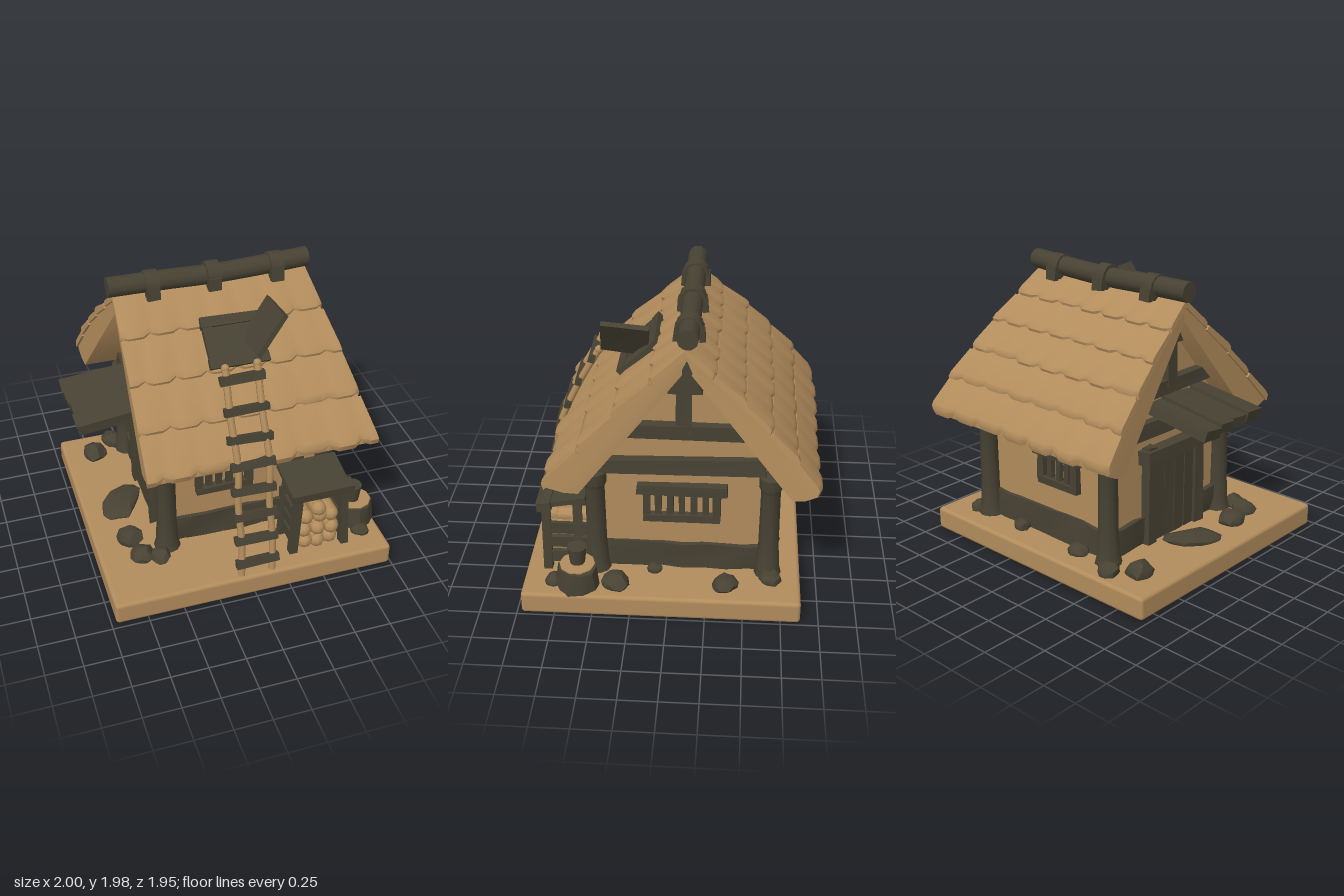
import * as THREE from 'three';
import { toCreasedNormals } from 'three/addons/utils/BufferGeometryUtils.js';
import { RoundedBoxGeometry } from 'three/addons/geometries/RoundedBoxGeometry.js';

const tan = new THREE.MeshStandardMaterial({ name: 'straw and plaster', color: 0xb28c5c });
const dark = new THREE.MeshStandardMaterial({ name: 'dark timber and stone', color: 0x474233 });
const lerp = THREE.MathUtils.lerp;

export function createModel() {
  let seed = 7;
  const rnd = () => ((seed = (seed * 16807) % 2147483647) / 2147483647) - 0.5;
  const house = new THREE.Group();
  house.name = 'cottage';

  const add = (parent, name, geo, mat, p = [0, 0, 0], r = [0, 0, 0]) => {
    const m = new THREE.Mesh(geo, mat);
    m.name = name;
    m.position.set(...p);
    m.rotation.set(...r);
    parent.add(m);
    return m;
  };
  // Moves all vertices sharing a place by the same small offset
  const wobble = (geo, amount) => {
    const p = geo.attributes.position, seen = {};
    for (let i = 0; i < p.count; i++) {
      const k = [p.getX(i), p.getY(i), p.getZ(i)].map(v => Math.round(v * 1e4)).join();
      const o = (seen[k] ??= [rnd() * amount, rnd() * amount, rnd() * amount]);
      p.setXYZ(i, p.getX(i) + o[0], p.getY(i) + o[1], p.getZ(i) + o[2]);
    }
    return toCreasedNormals(geo, 0.6);
  };
  // Hand-hewn timber
  const beam = (parent, name, s, p, r) =>
    add(parent, name, wobble(new THREE.BoxGeometry(...s), Math.min(...s) * 0.2), dark, p, r);
  const rock = (p, s) => {
    const m = add(house, 'rock', wobble(new THREE.IcosahedronGeometry(1, 1), 0.25), dark, p, [0, rnd() * 6, 0]);
    m.scale.set(...s);
  };
  // Skin over rings of points advancing along +x, with end caps
  const loft = rings => {
    const n = rings[0].length, idx = [], last = (rings.length - 1) * n;
    for (let i = 0; i < rings.length - 1; i++) for (let j = 0; j < n; j++) {
      const a = i * n + j, b = i * n + (j + 1) % n;
      idx.push(a, b, a + n, b, b + n, a + n);
    }
    for (let j = 1; j < n - 1; j++) idx.push(0, j + 1, j, last, last + j, last + j + 1);
    const g = new THREE.BufferGeometry();
    g.setAttribute('position', new THREE.Float32BufferAttribute(rings.flat(2), 3));
    g.setIndex(idx);
    return toCreasedNormals(g, 0.9);
  };

  // Ground slab, dark underneath
  add(house, 'groundSlab', new RoundedBoxGeometry(1.955, 0.16, 1.85, 2, 0.025),
    [tan, tan, tan, dark, tan, tan], [0.01, 0.08, 0.045]);

  // Walls with gables, and stone footing
  const gable = new THREE.Shape([[-0.45, 0.15], [0.63, 0.15], [0.63, 1.13], [0.11, 1.77], [-0.45, 1.08]]
    .map(a => new THREE.Vector2(...a)));
  const wallGeo = new THREE.ExtrudeGeometry(gable, { depth: 1.08, bevelEnabled: false });
  add(house, 'walls', wallGeo.rotateY(Math.PI / 2), tan, [-0.47, 0, 0]);
  add(house, 'footing', wobble(new THREE.BoxGeometry(1.13, 0.2, 1.13, 8, 2, 8), 0.025), dark, [0.07, 0.255, -0.09]);

  // Corner posts
  const post = [[0, 0.15], [0.095, 0.15], [0.078, 0.22], [0.068, 0.4], [0.064, 0.82], [0.078, 0.85], [0.078, 0.93], [0, 0.95]]
    .map(a => new THREE.Vector2(...a));
  for (const x of [-0.485, 0.65]) for (const z of [0.49, -0.66])
    add(house, 'cornerPost', toCreasedNormals(new THREE.LatheGeometry(post, 10), 0.7), dark, [x, 0, z]);

  // Gable timbers on both ends
  for (const x of [-0.49, 0.63]) {
    beam(house, 'tieBeam', [0.09, 0.1, 1.18], [x, 0.985, -0.03], [0.02, 0, 0]);
    beam(house, 'collarBeam', [0.08, 0.1, 0.86], [x, 1.245, -0.05]);
    beam(house, 'kingPost', [0.08, 0.44, 0.1], [x, 1.46, -0.09]);
    const peak = new THREE.Shape([[-0.01, 1.53], [0.21, 1.53], [0.11, 1.76]].map(a => new THREE.Vector2(...a)));
    add(house, 'peakBoard', new THREE.ExtrudeGeometry(peak, { depth: 0.09, bevelEnabled: false })
      .rotateY(Math.PI / 2), dark, [x - 0.045, 0, 0]);
  }

  // Roof: one thick, slightly bulging slab per side, covered with overlapping courses
  const sides = [
    { name: 'front', s: 1, len: 0.895, bulge: 0.02, xl: -0.68, xr: 0.9, rows: 4 },
    { name: 'back', s: -1, len: 0.855, bulge: 0.045, xl: -0.77, xr: 0.9, rows: 5 }];
  for (const { name, s, len, bulge, xl, xr, rows } of sides) {
    const at = (f, h, u) => {
      const out = h + bulge * Math.sin(Math.PI * Math.min(f, 1) ** 1.2);
      return [lerp(lerp(-0.65, xl, f), lerp(0.68, xr, f), u),
        1.835 - 0.875 * f + out * 0.72, -0.11 + s * (len * f + out * 0.69)];
    };
    const ring = pts => (s > 0 ? pts : pts.reverse());
    const slab = [0.01, 0.5, 0.99].map(u => ring([
      ...[0, 0.2, 0.4, 0.6, 0.8, 0.98].map(f => at(f, 0, u)), at(1, -0.025, u),
      [at(0.95, 0, u)[0], 0.9, s > 0 ? 0.66 : -0.87], [at(0.88, 0, u)[0], 0.885, s > 0 ? 0.57 : -0.79],
      [at(0, 0, u)[0], 1.7, -0.11]]));
    add(house, name + 'RoofSlab', loft(slab), tan);
    for (let i = 0; i < rows; i++) {
      const rings = [], tiles = 7, per = 4;
      const shift = i % 2 ? 0.5 : 0;
      let drop = 0;
      for (let c = 0; c <= tiles * per; c++) {
        const k = (c / per + shift) % 1, u = c / (tiles * per);
        if (k === 0) drop = rnd() * 0.025;
        const notch = k === 0 ? -0.018 : drop * 0.6;
        const f1 = (i + 1) / rows + notch, h1 = 0.026 + (k === 0 ? -0.01 : drop * 0.4);
        const f0 = i / rows;
        rings.push(ring([at(f0, 0.006, u), at(lerp(f0, f1, 0.82), h1, u), at(f1 - 0.008, h1 - 0.006, u),
          at(f1 + 0.008, -0.02, u), at(f0, -0.03, u)]));
      }
      add(house, name + 'RoofCourse', loft(rings), tan);
    }
  }

  // Sagging ridge log with straps
  const ridge = new THREE.CatmullRomCurve3([[-0.68, 1.9], [-0.3, 1.895], [0.05, 1.885], [0.4, 1.895], [0.69, 1.91]]
    .map(([x, y]) => new THREE.Vector3(x, y, -0.115)));
  add(house, 'ridgeLog', new THREE.TubeGeometry(ridge, 16, 0.068, 10), dark);
  for (const [x, y, r] of [[-0.68, 1.9, -1], [0.69, 1.91, 1]])
    add(house, 'ridgeLogEnd', new THREE.CircleGeometry(0.068, 10), dark, [x, y, -0.115], [0, r * Math.PI / 2, 0]);
  for (const x of [-0.39, 0.025, 0.46]) {
    add(house, 'ridgeStrap', toCreasedNormals(new THREE.CylinderGeometry(0.09, 0.09, 0.09, 12), 0.7), dark,
      [x, 1.885, -0.115], [0, 0, Math.PI / 2]);
    for (const s of [1, -1]) beam(house, 'strapEnd', [0.085, 0.09, 0.04], [x, 1.85, -0.115 + s * 0.08], [-s * 0.1, 0, 0]);
  }

  // Barred windows
  const barredWindow = (name, w, p, ry) => {
    const g = new THREE.Group();
    g.name = name;
    g.position.set(...p);
    g.rotation.y = ry;
    house.add(g);
    beam(g, 'lintel', [w + 0.08, 0.07, 0.08], [0, 0.105, 0]);
    beam(g, 'sill', [w, 0.05, 0.07], [0, -0.115, 0]);
    for (const s of [1, -1]) beam(g, 'jamb', [0.05, 0.21, 0.06], [s * (w / 2 - 0.025), 0, 0]);
    const n = Math.round(w / 0.085) - 1;
    for (let i = 1; i <= n; i++) beam(g, 'bar', [0.043, 0.2, 0.035], [-w / 2 + 0.02 + i * (w - 0.04) / (n + 1), 0, 0]);
  };
  barredWindow('rightWindow', 0.51, [0.625, 0.69, -0.08], Math.PI / 2);
  barredWindow('frontWindow', 0.4, [-0.07, 0.69, 0.465], 0);
  barredWindow('backWindow', 0.36, [-0.03, 0.69, -0.645], Math.PI);

  // Door on the left wall under a plank awning
  for (let i = 0; i < 4; i++) {
    beam(house, 'doorPlank', [0.05, 0.62, 0.1], [-0.49, 0.47, -0.19 + i * 0.105]);
    beam(house, 'awningPlank', [0.5, 0.07, 0.145], [-0.75 + rnd() * 0.02, 1.105 + (i % 2) * 0.012, -0.25 + i * 0.143],
      [0.08, 0, 0.14]);
  }
  for (const z of [-0.28, 0.21]) beam(house, 'doorPost', [0.08, 0.7, 0.08], [-0.5, 0.51, z]);
  beam(house, 'doorLintel', [0.12, 0.1, 0.64], [-0.5, 0.79, -0.035]);

  // Roof hatch with open lid
  const hatch = new THREE.Group();
  hatch.name = 'roofHatch';
  hatch.position.set(0.075, 1.55, 0.21);
  hatch.rotation.x = -0.8;
  house.add(hatch);
  for (const s of [1, -1]) {
    beam(hatch, 'hatchRail', [0.41, 0.065, 0.1], [0, s * 0.14, 0]);
    beam(hatch, 'hatchStile', [0.065, 0.26, 0.09], [s * 0.17, 0, 0]);
  }
  add(hatch, 'hatchOpening', new THREE.BoxGeometry(0.3, 0.25, 0.06), dark);
  beam(house, 'hatchLid', [0.035, 0.32, 0.31], [0.245, 1.69, 0.315], [-0.1, 0, -0.6]);

  // Leaning ladder
  const lean = [[0.16, 0.93], [0.4, 0.885], [0.7, 0.83], [0.97, 0.785], [1.27, 0.655], [1.55, 0.5]];
  const rail = x => new THREE.CatmullRomCurve3(lean.map(([y, z], i) => new THREE.Vector3(x + (i % 2) * 0.012, y, z)));
  for (const x of [-0.09, 0.125]) {
    add(house, 'ladderRail', new THREE.TubeGeometry(rail(x), 20, 0.024, 7), tan);
    add(house, 'ladderRailTip', new THREE.SphereGeometry(0.028, 8, 6), tan, [x + 0.012, 1.55, 0.5]);
  }
  [0.26, 0.43, 0.61, 0.8, 0.98, 1.14, 1.31, 1.49].forEach(y => {
    const i = lean.findIndex(a => a[0] > y), [a, b] = [lean[i - 1], lean[i]];
    beam(house, 'ladderRung', [0.3, 0.055, 0.045],
      [0.02, y, lerp(a[1], b[1], (y - a[0]) / (b[0] - a[0])) + 0.012], [-0.3, 0, rnd() * 0.06]);
  });

  // Firewood shelter
  beam(house, 'shelterFrontBoard', [0.45, 0.06, 0.1], [0.495, 0.67, 0.83], [0.15, 0, 0]);
  beam(house, 'shelterRoof', [0.42, 0.035, 0.3], [0.49, 0.695, 0.7], [0.18, 0, 0]);
  beam(house, 'shelterBackBoard', [0.32, 0.085, 0.07], [0.31, 0.765, 0.52], [0, 0, -0.04]);
  for (const x of [0.325, 0.67]) {
    const lx = x < 0.5 ? -0.06 : 0.06;
    beam(house, 'shelterLeg', [0.055, 0.5, 0.055], [x, 0.4, 0.82], [0, 0, lx]);
    beam(house, 'shelterLeg', [0.055, 0.54, 0.055], [x, 0.42, 0.61], [0, 0, lx]);
    for (const y of [0.25, 0.37, 0.48]) beam(house, 'shelterRail', [0.03, 0.085, 0.28], [x, y, 0.68]);
  }
  [[0.21, 0.41, 0.5, 0.59], [0.31, 0.4, 0.5, 0.6], [0.42, 0.41, 0.51, 0.59], [0.475, 0.5]].forEach(([y, ...xs]) =>
    xs.forEach(x => {
      add(house, 'firewoodLog', new THREE.CylinderGeometry(0.052, 0.052, 0.24, 9), tan, [x, y, 0.68], [Math.PI / 2, 0, 0]);
      add(house, 'firewoodEnd', new THREE.SphereGeometry(0.054, 9, 6), tan, [x, y + rnd() * 0.02, 0.79]);
    }));

  // Stump with pale top, and a bucket on it
  add(house, 'stump', wobble(new THREE.CylinderGeometry(0.125, 0.145, 0.16, 10), 0.02), dark, [0.85, 0.235, 0.6]);
  add(house, 'stumpTop', new THREE.CylinderGeometry(0.118, 0.118, 0.008, 10), tan, [0.85, 0.325, 0.6]);
  add(house, 'bucket', new THREE.CylinderGeometry(0.066, 0.05, 0.125, 10), dark, [0.835, 0.39, 0.6]);

  // Loose rocks
  [[-0.72, 0.36, 0.09], [-0.68, 0.55, 0.08], [-0.74, -0.64, 0.09], [0.82, -0.38, 0.08], [0.84, 0.35, 0.09],
    [0.84, 0.76, 0.06], [0.74, -0.68, 0.07], [-0.58, -0.76, 0.08], [-0.25, -0.7, 0.07], [0.3, -0.69, 0.06], [0.68, 0.1, 0.05],
    [-0.56, 0.6, 0.07]].forEach(([x, z, r]) => rock([x, 0.175, z], [r, r * 0.8, r * 1.1]));
  rock([-0.69, 0.165, -0.03], [0.13, 0.04, 0.2]);

  return house;
}
